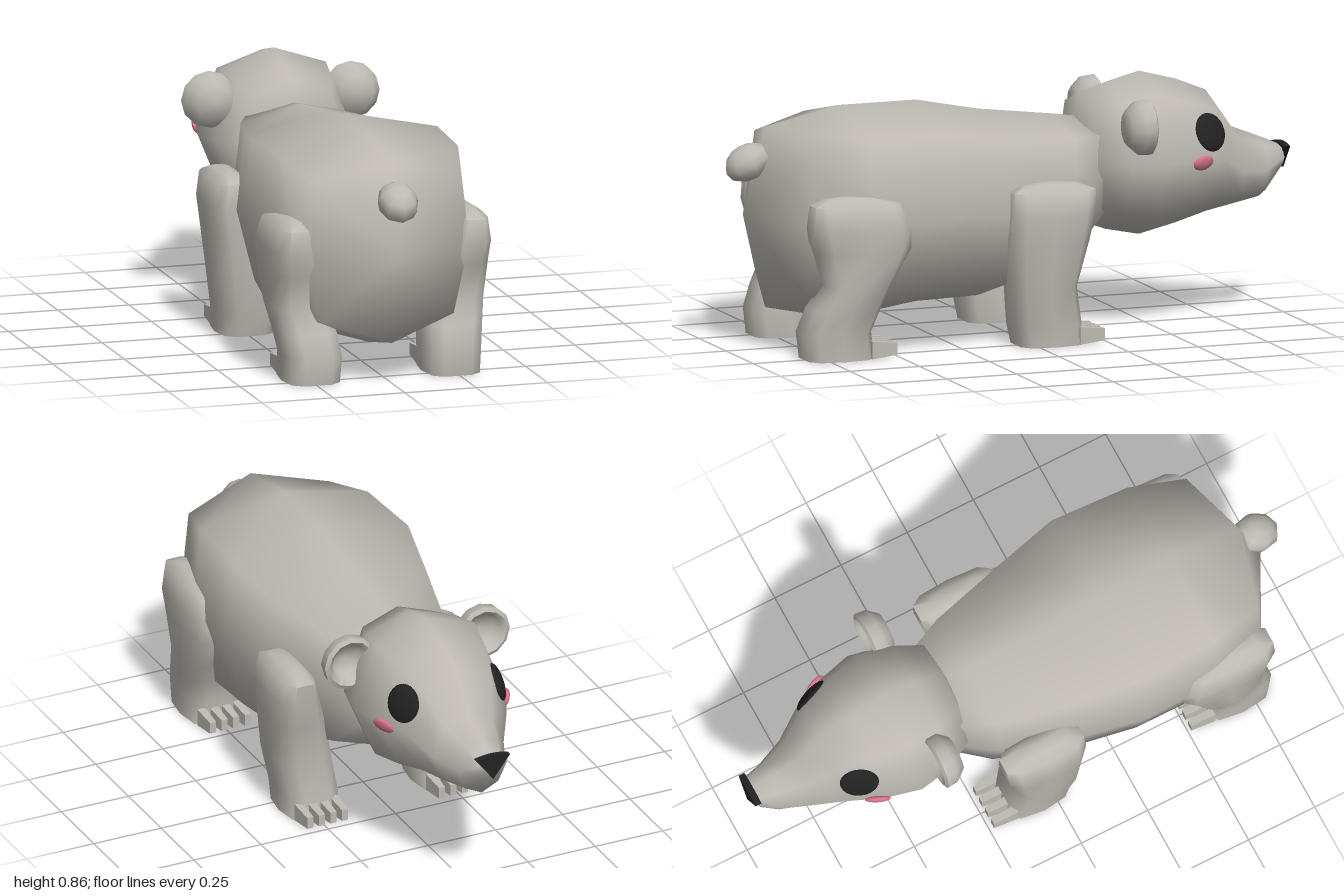
import * as THREE from 'three';
import { toCreasedNormals } from 'three/addons/utils/BufferGeometryUtils.js';

const fur = new THREE.MeshStandardMaterial({ name: 'grey fur', color: 0xbdb9b2 });
const black = new THREE.MeshStandardMaterial({ name: 'black', color: 0x222222 });
const pink = new THREE.MeshStandardMaterial({ name: 'pink cheek', color: 0xd9748c });

// Joins equal-sized rings of [x, y, z] points and closes both ends at a tip.
function loft(rings, startTip, endTip) {
  const n = rings[0].length, pos = [...rings.flat(2), ...startTip, ...endTip], idx = [];
  const s = rings.length * n, e = s + 1, last = (rings.length - 1) * n;
  for (let k = 0; k < n; k++) {
    const m = (k + 1) % n;
    for (let a = 0; a < last; a += n) {
      idx.push(a + k, a + m, a + n + m, a + k, a + n + m, a + n + k);
    }
    idx.push(s, m, k, e, last + k, last + m);
  }
  const g = new THREE.BufferGeometry();
  g.setAttribute('position', new THREE.Float32BufferAttribute(pos, 3));
  g.setIndex(idx);
  g.computeVertexNormals();
  return g;
}

// Eight-sided upright section; bend pulls its sides forward.
function section(z, top, bottom, w, up, drop, low, rise, bend = 0) {
  const h = top - bottom, mid = (top + bottom) / 2;
  return [
    [1, mid], [up, top - drop * h], [0, top], [-up, top - drop * h],
    [-1, mid], [-low, bottom + rise * h], [0, bottom], [low, bottom + rise * h],
  ].map(([x, y]) => [x * w, y, z - bend * Math.abs(x)]);
}

// Rounded-square level section of a leg.
function legSection([y, z0, z1, x0, x1], side) {
  const soft = (v) => Math.sign(v) * Math.pow(Math.abs(v), 0.6);
  return Array.from({ length: 10 }, (_, i) => {
    const a = (i / 10) * Math.PI * 2;
    return [
      side * (x0 + x1) / 2 + soft(Math.cos(a)) * (x1 - x0) / 2, y,
      (z0 + z1) / 2 - soft(Math.sin(a)) * (z1 - z0) / 2,
    ];
  });
}

export function createModel() {
  const root = new THREE.Group();
  root.name = 'bear';
  const add = (name, geo, mat, parent = root) => {
    const m = new THREE.Mesh(geo, mat);
    m.name = name;
    parent.add(m);
    return m;
  };

  // Body: z, top, bottom, half width, bend
  const body = [
    [-0.3, 0.71, 0.36, 0.17], [-0.17, 0.73, 0.22, 0.235], [0.1, 0.765, 0.13, 0.31],
    [0.32, 0.81, 0.125, 0.36], [0.6, 0.81, 0.085, 0.345], [0.86, 0.755, 0.14, 0.29, 0.07],
  ].map(([z, t, b, w, bend]) => section(z, t, b, w, 0.9, 0.1, 0.8, 0.12, bend));
  add('body', loft(body, [0, 0.53, -0.32], [0, 0.46, 0.94]), fur);

  // Head, from muzzle to nape
  const headRings = [
    [-0.98, 0.575, 0.5, 0.06], [-0.91, 0.605, 0.4, 0.088], [-0.81, 0.645, 0.38, 0.13],
    [-0.72, 0.775, 0.362, 0.185], [-0.61, 0.82, 0.33, 0.235], [-0.48, 0.855, 0.3, 0.268],
    [-0.36, 0.825, 0.325, 0.245], [-0.265, 0.795, 0.36, 0.19],
  ].map(([z, t, b, w]) => section(z, t, b, w, 0.68, 0.11, 0.7, 0.15));
  const head = add('head', loft(headRings, [0, 0.54, -0.985], [0, 0.6, -0.22]), fur);

  // Nose: thin rounded triangle
  const noseShape = new THREE.Shape();
  noseShape.moveTo(-0.062, 0.575);
  noseShape.lineTo(0, 0.495);
  noseShape.lineTo(0.062, 0.575);
  noseShape.quadraticCurveTo(0, 0.59, -0.062, 0.575);
  const noseGeo = new THREE.ExtrudeGeometry(noseShape, { depth: 0.022, bevelEnabled: false });
  add('nose', noseGeo, black).position.z = -1;

  // Sets a flattened dome on the side of the head
  const ray = new THREE.Raycaster();
  head.updateMatrixWorld(true);
  function onHead(name, side, y, z, rx, ry, depth, mat) {
    ray.set(new THREE.Vector3(side, y, z), new THREE.Vector3(-side, 0, 0));
    const hit = ray.intersectObject(head)[0];
    const m = add(name, new THREE.SphereGeometry(1, 20, 12), mat);
    m.position.copy(hit.point);
    m.lookAt(hit.point.clone().add(hit.face.normal));
    m.scale.set(rx, ry, depth);
  }

  const earProfile = [
    [0, 0], [0.06, 0.008], [0.092, 0.045], [0.096, 0.082], [0.082, 0.09],
    [0.068, 0.08], [0.05, 0.045], [0, 0.035],
  ].map(([r, y]) => new THREE.Vector2(r, y));

  // Legs: y, back-to-front range in z, inner and outer x
  const frontLeg = [
    [0, -0.17, 0.06, 0.15, 0.34], [0.07, -0.165, 0.075, 0.145, 0.342],
    [0.2, -0.14, 0.09, 0.16, 0.365], [0.36, -0.18, 0.105, 0.2, 0.375],
    [0.45, -0.195, 0.105, 0.23, 0.382], [0.53, -0.2, 0.1, 0.25, 0.368],
    [0.552, -0.14, 0.05, 0.27, 0.335],
  ];
  const hindLeg = [
    [0, 0.58, 0.82, 0.15, 0.34], [0.09, 0.59, 0.83, 0.145, 0.342],
    [0.17, 0.56, 0.8, 0.155, 0.355], [0.25, 0.53, 0.755, 0.18, 0.372],
    [0.37, 0.46, 0.8, 0.2, 0.377], [0.45, 0.46, 0.82, 0.23, 0.382],
    [0.53, 0.5, 0.815, 0.25, 0.368], [0.552, 0.58, 0.76, 0.27, 0.335],
  ];

  for (const side of [1, -1]) {
    const label = side > 0 ? 'left' : 'right';
    onHead(label + 'Eye', side, 0.662, -0.668, 0.066, 0.066, 0.02, black);
    onHead(label + 'Cheek', side, 0.57, -0.625, 0.044, 0.027, 0.012, pink);

    // Cupped ear opening towards the muzzle
    const ear = add(label + 'Ear', toCreasedNormals(new THREE.LatheGeometry(earProfile, 12), 1), fur);
    ear.rotation.x = -Math.PI / 2;
    ear.position.set(side * 0.248, 0.71, -0.335);

    for (const [name, rows, toeZ] of [['FrontLeg', frontLeg, -0.19], ['HindLeg', hindLeg, 0.555]]) {
      const leg = new THREE.Group();
      leg.name = label + name;
      root.add(leg);
      const [, a, b] = rows[rows.length - 1];
      const tips = [[side * 0.245, 0, toeZ + 0.14], [side * 0.3, 0.56, (a + b) / 2]];
      add('limb', toCreasedNormals(loft(rows.map((r) => legSection(r, side)), ...tips), 1.2), fur, leg);
      // Four claws, thinner towards the tip
      for (let i = 0; i < 4; i++) {
        const g = new THREE.BoxGeometry(0.03, 0.06, 0.09);
        const p = g.attributes.position;
        for (let v = 0; v < p.count; v++) {
          if (p.getZ(v) < 0) p.setXYZ(v, p.getX(v) * 0.75, p.getY(v) < 0 ? -0.02 : 0.02, p.getZ(v));
        }
        g.computeVertexNormals();
        add('claw', g, fur, leg).position.set(side * (0.18 + i * 0.043), 0.03, toeZ);
      }
    }
  }

  // Stubby tail, drooping backwards
  const tail = add('tail', new THREE.SphereGeometry(1, 8, 6), fur);
  tail.scale.set(0.07, 0.06, 0.085);
  tail.rotation.x = 0.45;
  tail.position.set(0, 0.637, 0.922);
  return root;
}
